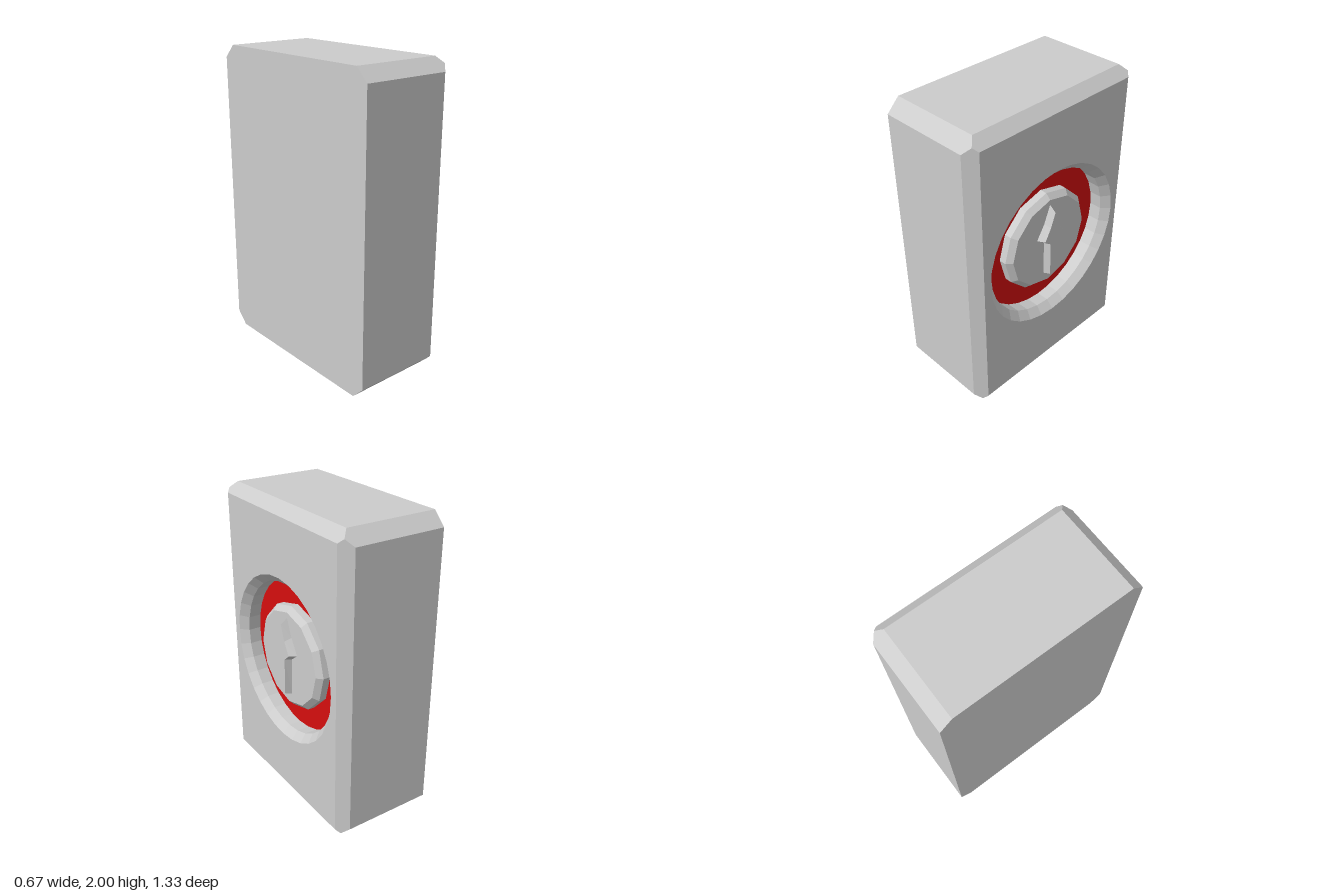
import * as THREE from 'three';

const grey = new THREE.MeshStandardMaterial({ color: 0xcccccc });
grey.name = 'light grey';
const red = new THREE.MeshStandardMaterial({ color: 0xd60e0e });
red.name = 'signal red';

// Parts are drawn facing +z, then the whole group is turned to face +x.
const ring = (points, z) => points.map(([x, y]) => new THREE.Vector3(x, y, z));
const circle = (r, n) => Array.from({ length: n }, (_, i) => {
  const a = (i / n) * Math.PI * 2;
  return [r * Math.cos(a), r * Math.sin(a)];
});
const toVectors = (points) => points.map(([x, y]) => new THREE.Vector2(x, y));

// Flat-faced skin through a series of counter-clockwise rings
function loft(rings) {
  const triangles = [];
  const add = (a, b, c) => {
    if (a.distanceTo(b) > 1e-6 && b.distanceTo(c) > 1e-6 && c.distanceTo(a) > 1e-6) triangles.push(a, b, c);
  };
  for (let k = 0; k + 1 < rings.length; k++) {
    const lower = rings[k], upper = rings[k + 1], n = lower.length;
    for (let i = 0; i < n; i++) {
      const j = (i + 1) % n;
      add(lower[i], lower[j], upper[j]);
      add(lower[i], upper[j], upper[i]);
    }
  }
  const geometry = new THREE.BufferGeometry().setFromPoints(triangles);
  geometry.computeVertexNormals();
  return geometry;
}

function face(points, z, holePoints) {
  const shape = new THREE.Shape(toVectors(points));
  if (holePoints) shape.holes.push(new THREE.Path(toVectors(holePoints)));
  return new THREE.ShapeGeometry(shape).translate(0, 0, z);
}

// Two points for each corner; equal cuts give a doubled corner
function cutRect(w, h, cut) {
  return [
    [w, h - cut], [w - cut, h], [-w + cut, h], [-w, h - cut],
    [-w, -h + cut], [-w + cut, -h], [w - cut, -h], [w, -h + cut],
  ];
}

export function createModel() {
  const group = new THREE.Group();
  group.name = 'dialBlock';
  const add = (name, geometry, material = grey) => {
    const mesh = new THREE.Mesh(geometry, material);
    mesh.name = name;
    group.add(mesh);
  };

  // Housing with bevelled edges, flat at the back
  const outline = cutRect(0.667, 1, 0.082);
  add('housing', loft([
    ring(outline, -0.333),
    ring(outline, 0.266),
    ring(cutRect(0.626, 0.959, 0), 0.307),
    ring(cutRect(0.6, 0.933, 0), 0.333),
  ]));
  add('backPanel', face(outline, 0).rotateY(Math.PI).translate(0, 0, -0.333));

  // Front panel with a round, bevelled recess
  const rim = circle(0.55, 32), well = circle(0.5, 32);
  add('frontPanel', face([[-0.6, -0.933], [0.6, -0.933], [0.6, 0.933], [-0.6, 0.933]], 0.333, rim));
  add('recessWall', loft([ring(rim, 0.333), ring(well, 0.283), ring(well, 0.2)]));
  add('recessFloor', face(well, 0.2), red);

  // Twelve-sided knob
  const knob = circle(0.35, 12), knobTop = circle(0.315, 12);
  add('knob', loft([ring(knob, 0.2), ring(knob, 0.248), ring(knobTop, 0.282)]));
  add('knobFace', face(knobTop, 0.282));

  // Raised arrow with sloping sides
  const mirrored = (half, tip) => [
    ...half, [0, tip], ...half.map(([x, y]) => [-x, y]).reverse(),
  ];
  const arrowBase = mirrored([[0.04, -0.24], [0.047, 0.012], [0.108, 0.06], [0.047, 0.16]], 0.28);
  const arrowTop = mirrored([[0.029, -0.228], [0.034, 0.018], [0.083, 0.06], [0.036, 0.145]], 0.245);
  add('arrow', loft([ring(arrowBase, 0.282), ring(arrowTop, 0.328)]));
  add('arrowFace', face(arrowTop, 0.328));

  group.rotation.y = Math.PI / 2;
  group.position.y = 1;
  const model = new THREE.Group();
  model.name = 'model';
  model.add(group);
  return model;
}
